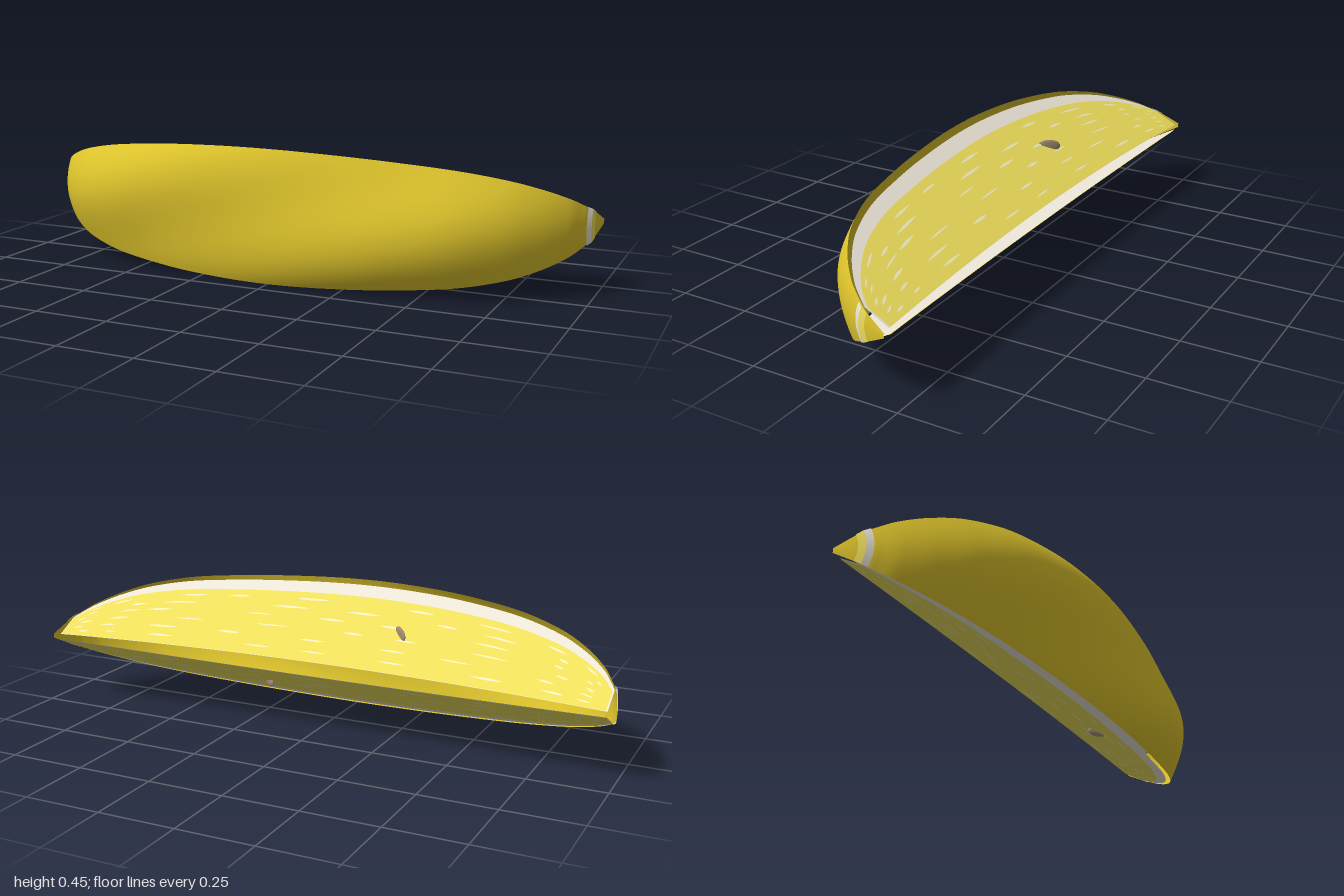
import * as THREE from 'three';

const AXIS_Y = 0.225, AXIS_Z = -0.23;   // core line of the fruit
const HALF = 0.496;                     // half of the wedge angle
const FLESH_END = 0.967;

const colors = { rind: 0xe0c62c, pith: 0xeee7da, flesh: 0xf0e05c, streak: 0xf6efc4, seed: 0xa08c72 };
const mats = {};
for (const k in colors) {
  mats[k] = new THREE.MeshStandardMaterial({ color: colors[k], roughness: 0.8, side: THREE.DoubleSide });
}

// Radius profile from the middle to the tip, mirrored into one spline
const half = [[0, 0.457], [0.2, 0.452], [0.4, 0.437], [0.6, 0.402], [0.75, 0.342], [0.85, 0.272],
  [0.92, 0.2], [0.955, 0.146], [0.968, 0.122], [0.978, 0.1], [0.985, 0.08], [1, 0.015]];
const profile = new THREE.SplineCurve([
  ...half.slice(1).reverse().map(([x, r]) => new THREE.Vector2(-x, r)),
  ...half.map(([x, r]) => new THREE.Vector2(x, r)),
]);

// Point at distance r from the core line, at angle phi, lifted along the cut face normal
function place(x, r, phi, lift = 0) {
  const s = Math.sign(phi) * lift;
  return [x, AXIS_Y + r * Math.sin(phi) + s * Math.cos(phi), AXIS_Z + r * Math.cos(phi) - s * Math.sin(phi)];
}

// Gentle lobes that spiral along the fruit
function lobed(x, r, phi) {
  return r * (1 - 0.03 * (1 - x ** 4) * Math.cos(6 * phi - 4 * (x + 0.1)));
}

const inner = (x) => 0.05 - 0.033 * x * x;

// Surface from a grid of points fn(u, v)
function grid(nu, nv, fn, flip = false) {
  const pos = [], idx = [];
  for (let i = 0; i <= nu; i++) for (let j = 0; j <= nv; j++) pos.push(...fn(i / nu, j / nv));
  for (let i = 0; i < nu; i++) for (let j = 0; j < nv; j++) {
    const a = i * (nv + 1) + j, b = a + nv + 1;
    if (flip) idx.push(a, a + 1, b, b, a + 1, b + 1);
    else idx.push(a, b, a + 1, b, b + 1, a + 1);
  }
  const g = new THREE.BufferGeometry();
  g.setAttribute('position', new THREE.Float32BufferAttribute(pos, 3));
  g.setIndex(idx);
  g.computeVertexNormals();
  return g;
}

function add(parent, name, geometry, material) {
  const m = new THREE.Mesh(geometry, material);
  m.name = name;
  parent.add(m);
  return m;
}

// Flat cut layer reaching a given share of the rind radius
function cutLayer(phi, share, end, lift) {
  return grid(160, 4, (u, v) => {
    const p = profile.getPoint(u);
    const x = THREE.MathUtils.clamp(p.x, -end, end);
    const r0 = inner(x), r1 = Math.max(r0, lobed(x, p.y, phi) * share);
    return place(x, r0 + (r1 - r0) * v, phi, lift);
  }, phi > 0);
}

// Thin tapered streaks in staggered rows, following the curve of the flesh
function streaks(phi) {
  let seed = phi > 0 ? 7 : 19;
  const rand = () => (seed = (seed * 16807) % 2147483647) / 2147483647;
  const group = new THREE.Group();
  for (let i = 0; i < 20; i++) rand();
  [0.24, 0.38, 0.52, 0.66, 0.78, 0.9].forEach((share, row) => {
    for (let k = 0; k < 9; k++) {
      const t = 0.2 + 0.6 * (k + 0.25 + 0.5 * rand() + (row % 2) * 0.3) / 9.3;
      const dt = 0.008 + 0.01 * rand(), w = 0.003 + 0.0025 * rand();
      const g = grid(6, 1, (u, v) => {
        const p = profile.getPoint(t + dt * (u * 2 - 1));
        const x = THREE.MathUtils.clamp(p.x, -0.955, 0.955);
        const r = lobed(x, p.y, phi) * 0.81 * share + (v * 2 - 1) * w * Math.sin(Math.PI * u);
        return place(x, Math.max(r, inner(x)), phi, 0.004);
      }, phi > 0);
      add(group, 'streak', g, mats.streak);
    }
  });
  return group;
}

// Narrow band around the wedge end
function endBand(side, from, to) {
  return grid(2, 24, (u, v) => place(
    side * THREE.MathUtils.lerp(from[0], to[0], u),
    THREE.MathUtils.lerp(from[1], to[1], u),
    (v * 2 - 1) * HALF), side < 0);
}

export function createModel() {
  const model = new THREE.Group();
  model.name = 'melonWedge';

  // Outer skin, open towards the core
  add(model, 'rind', grid(200, 40, (u, v) => {
    const p = profile.getPoint(u), phi = (v * 2 - 1) * HALF;
    return place(p.x, lobed(p.x, p.y, phi), phi);
  }), mats.rind);

  // The two cut faces: pith below, flesh and streaks above
  for (const [name, phi] of [['top', HALF], ['bottom', -HALF]]) {
    const face = new THREE.Group();
    face.name = name + 'CutFace';
    add(face, 'pith', cutLayer(phi, 0.94, 0.972, 0), mats.pith);
    add(face, 'flesh', cutLayer(phi, 0.81, FLESH_END, 0.002), mats.flesh);
    const s = streaks(phi);
    s.name = 'streaks';
    face.add(s);
    model.add(face);
  }

  // Pith and flesh showing through near both tips
  for (const side of [-1, 1]) {
    add(model, 'pithEnd', endBand(side, [0.968, 0.13], [0.98, 0.112]), mats.pith);
    add(model, 'fleshEnd', endBand(side, [0.98, 0.112], [0.986, 0.088]), mats.flesh);
  }

  // One flat seed stuck in each face
  const seedGeo = new THREE.SphereGeometry(1, 20, 12);
  for (const [name, pos, size, turn] of [
    ['topSeed', [-0.25, 0.333, -0.033], [0.044, 0.025, 0.006], -0.8],
    ['bottomSeed', [0.25, 0.1, -0.002], [0.036, 0.018, 0.006], -0.7],
  ]) {
    const m = add(model, name, seedGeo, mats.seed);
    m.position.set(...pos);
    m.scale.set(...size);
    m.rotation.y = turn;
  }
  return model;
}
